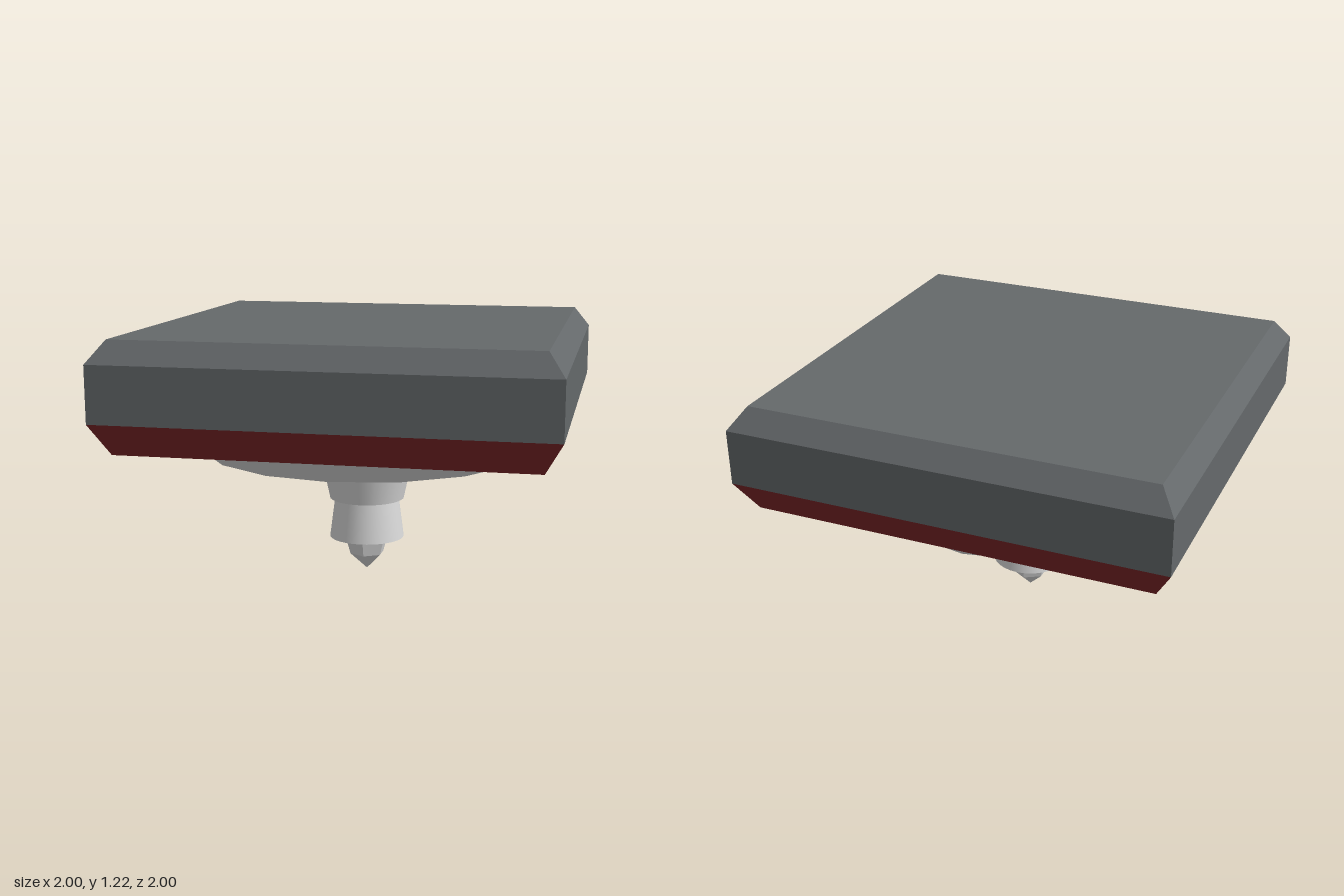
import * as THREE from 'three';

const slate = new THREE.MeshStandardMaterial({ color: 0x65696b, flatShading: true });
slate.name = 'slate grey';
const red = new THREE.MeshStandardMaterial({ color: 0x7c2627, flatShading: true });
red.name = 'dark red';
const metal = new THREE.MeshStandardMaterial({ color: 0xdadada });
metal.name = 'light metal';

export function createModel() {
  const group = new THREE.Group();
  group.name = 'paddedMount';

  const add = (name, geometry, material) => {
    const mesh = new THREE.Mesh(geometry, material);
    mesh.name = name;
    group.add(mesh);
    return mesh;
  };

  // Tapered round section between two heights
  const taper = (name, rTop, yTop, rBottom, yBottom, sides, open = false) => {
    const g = new THREE.CylinderGeometry(rTop, rBottom, yTop - yBottom, sides, 1, open);
    g.translate(0, (yTop + yBottom) / 2, 0);
    return add(name, g, metal);
  };

  // Tapered square section, given by half widths; materials for side, top, bottom
  const square = (name, hTop, yTop, hBottom, yBottom, materials, open = false) => {
    const g = new THREE.CylinderGeometry(hTop * Math.SQRT2, hBottom * Math.SQRT2, yTop - yBottom, 4, 1, open);
    g.rotateY(Math.PI / 4);
    g.translate(0, (yTop + yBottom) / 2, 0);
    return add(name, g, materials);
  };

  // Square pad: bevelled top, straight wall, red lower bevel with grey underside
  square('padTop', 0.927, 1.215, 1, 1.115, [slate, slate, slate]);
  square('padWall', 1, 1.115, 1, 0.86, slate, true);
  square('padLowerBevel', 1, 0.86, 0.922, 0.717, [red, slate, slate]);

  // Sixteen-sided dish under the pad with a shallow recess
  taper('dishRim', 0.885, 0.717, 0.78, 0.61, 16, true);
  const ring = (name, points) =>
    add(name, new THREE.LatheGeometry(points.map(([x, y]) => new THREE.Vector2(x, y)), 16), metal);
  ring('dishInnerWall', [[0.75, 0.655], [0.78, 0.61]]);
  ring('dishUnderside', [[0, 0.61], [0.235, 0.62], [0.75, 0.655]]);

  // Stem and collar
  taper('stem', 0.237, 0.625, 0.18, 0.36, 32);
  taper('collar', 0.155, 0.36, 0.18, 0.167, 32);

  // Hexagonal pointed tip
  for (const [name, rTop, yTop, rBottom, yBottom] of [
    ['tipShank', 0.11, 0.167, 0.085, 0.08],
    ['tipPoint', 0.085, 0.08, 0, 0],
  ]) {
    const mesh = taper(name, rTop, yTop, rBottom, yBottom, 6, true);
    const flat = mesh.geometry.toNonIndexed();
    flat.computeVertexNormals();
    mesh.geometry = flat;
  }

  return group;
}
